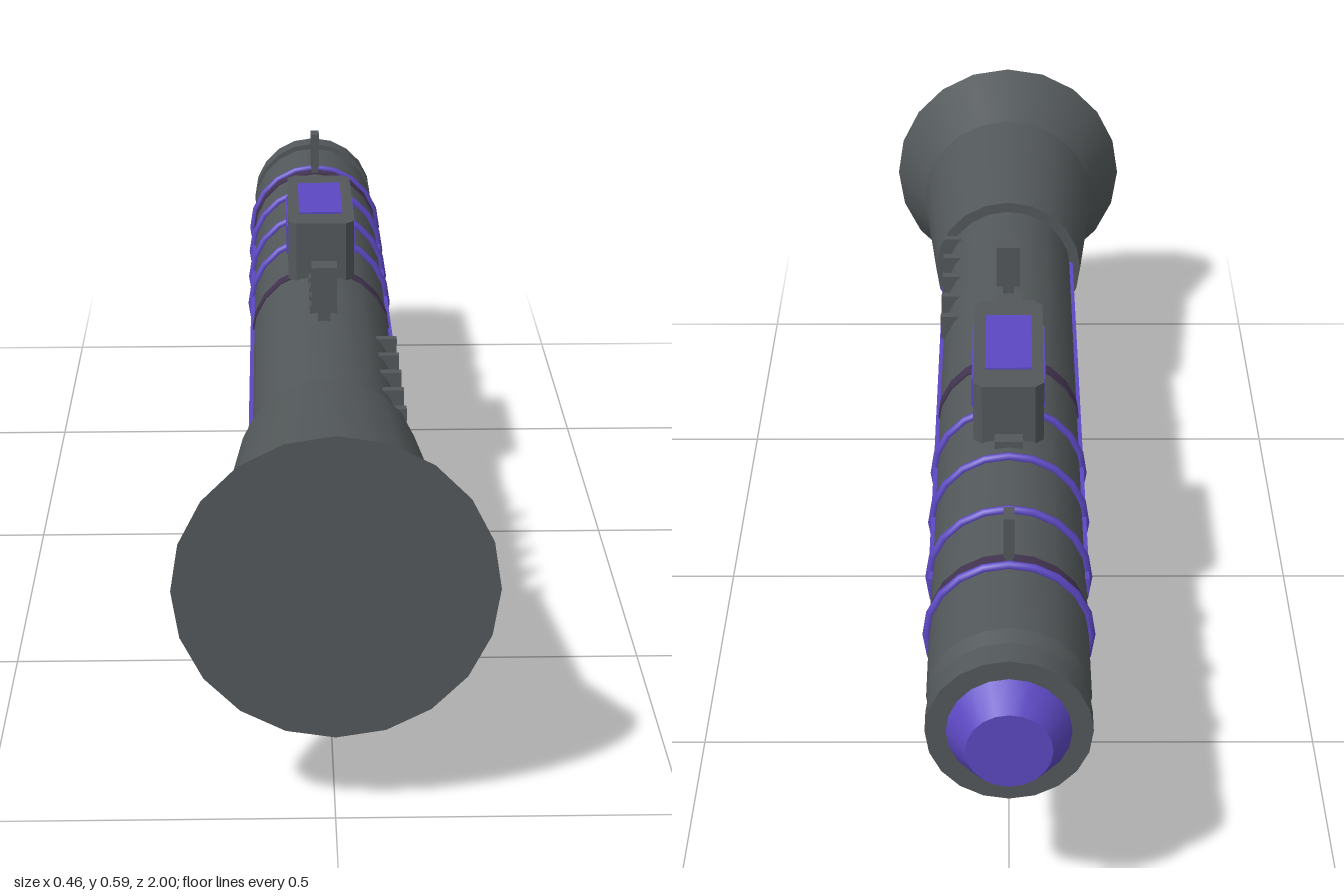
import * as THREE from 'three';

const AXIS = 0.36; // height of the barrel axis
const SIDES = 20;

export function createModel() {
  const root = new THREE.Group();
  const mat = (name, color, side = THREE.FrontSide) => {
    const m = new THREE.MeshStandardMaterial({ color, side });
    m.name = name;
    return m;
  };
  const grey = mat('gunmetal', 0x53585a);
  const purple = mat('purple', 0x5c48c2);
  const plum = mat('darkPlum', 0x42344f);

  const add = (name, geo, material, x = 0, y = 0, z = 0, parent = root) => {
    const mesh = new THREE.Mesh(geo, material);
    mesh.name = name;
    mesh.position.set(x, y, z);
    parent.add(mesh);
    return mesh;
  };
  const box = (name, m, w, h, d, x, y, z) => add(name, new THREE.BoxGeometry(w, h, d), m, x, y, z);
  // Round section along z from z0 (radius r0) to z1 (radius r1), z1 > z0
  const section = (name, m, z0, r0, z1, r1) =>
    add(name, new THREE.CylinderGeometry(r1, r0, z1 - z0, SIDES).rotateX(Math.PI / 2), m, 0, AXIS, (z0 + z1) / 2);
  // Upright block with a chamfered outline in plan
  const block = (name, w, h, d, c, y) => {
    const a = w / 2, b = d / 2;
    const s = new THREE.Shape([
      [-a + c, -b], [a - c, -b], [a, -b + c], [a, b - c],
      [a - c, b], [-a + c, b], [-a, b - c], [-a, -b + c],
    ].map(([u, v]) => new THREE.Vector2(u, v)));
    const g = new THREE.ExtrudeGeometry(s, { depth: h, bevelEnabled: false });
    g.rotateX(-Math.PI / 2).translate(0, y, 0);
    return add(name, g, grey);
  };

  // Barrel and flared bell
  section('barrel', grey, -0.87, 0.12, 0.56, 0.12);
  section('barrelTaper', grey, -0.915, 0.108, -0.87, 0.12);
  section('endRing', grey, -0.953, 0.12, -0.907, 0.12);
  section('bellNeck', grey, 0.54, 0.139, 0.865, 0.17);
  section('bellMouth', grey, 0.865, 0.17, 1, 0.2285);
  section('endCone', purple, -1, 0.062, -0.953, 0.09);

  // Painted bands and raised hoops
  section('middleBand', plum, -0.076, 0.1225, -0.048, 0.1225);
  section('frontBand', plum, -0.703, 0.1225, -0.677, 0.1225);
  for (const z of [-0.235, -0.392, -0.553, -0.71])
    add('hoop', new THREE.TorusGeometry(0.123, 0.007, 8, SIDES), purple, 0, AXIS, z);

  // Long stripes on both sides
  for (const s of [-1, 1]) box('sideStripe', purple, 0.009, 0.028, 1.12, s * 0.12, AXIS, -0.02);

  // Vent ribs along one side
  for (let i = 0; i < 5; i++) box('ventRib', grey, 0.035, 0.044, 0.016, 0.104, 0.418, 0.51 - i * 0.081);

  // Top rail teeth
  for (let i = 0; i < 11; i++) box('railTooth', grey, 0.046, 0.022, 0.026, 0, 0.479, 0.155 - i * 0.05);

  // Sights
  box('rearSight', grey, 0.042, 0.076, 0.038, 0, 0.536, 0.203);
  box('rearSightStem', grey, 0.02, 0.04, 0.02, 0, 0.49, 0.203);
  box('frontSight', grey, 0.016, 0.066, 0.035, 0, 0.528, -0.69);
  box('frontSightStem', grey, 0.012, 0.04, 0.022, 0, 0.485, -0.69);

  // Scope housing, chamfered along its corners
  block('scope', 0.114, 0.104, 0.304, 0.014, 0.471).position.z = -0.178;
  box('scopeTopWindow', purple, 0.076, 0.006, 0.187, 0, 0.575, -0.178);
  for (const s of [-1, 1]) box('scopeSideWindow', purple, 0.006, 0.052, 0.187, s * 0.057, 0.529, -0.173);

  // Grips
  const grip = block('rearGrip', 0.088, 0.25, 0.083, 0.005, -0.125);
  grip.position.set(0, 0.13, -0.05);
  grip.rotation.x = -0.085;
  block('foreGrip', 0.082, 0.23, 0.083, 0.005, 0.025).position.z = -0.528;

  // Trigger and guard
  box('guardBar', grey, 0.022, 0.009, 0.145, 0, 0.181, -0.165);
  box('guardPost', grey, 0.022, 0.075, 0.009, 0, 0.212, -0.234);
  const trigger = box('trigger', grey, 0.014, 0.045, 0.012, 0, 0.226, -0.188);
  trigger.rotation.x = 0.25;

  return root;
}
